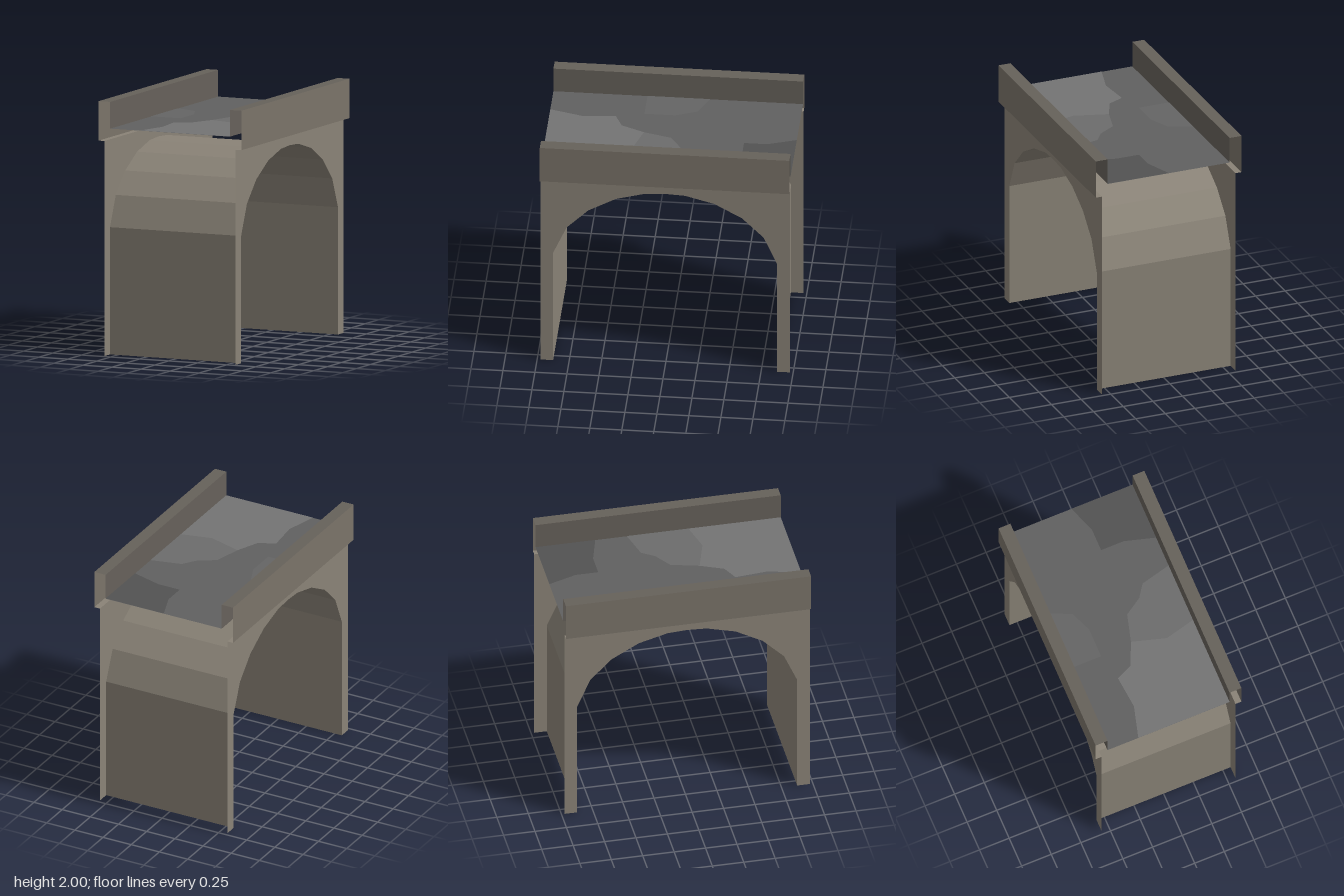
import * as THREE from 'three';

const WALL_X = 0.565, RAIL_OUT = 0.615, RAIL_IN = 0.515, HALF_Z = 0.975;
const LEDGE_Y = 1.69, DECK_Y = 1.79, TOP_Y = 2;

function material(color) {
  return new THREE.MeshStandardMaterial({ color, flatShading: true, side: THREE.DoubleSide });
}
const stone = material(0x8a8377);
const weathered = material(0x7a7369);
const capStone = material(0x66615a);

function addMesh(parent, name, geometry, mat) {
  const mesh = new THREE.Mesh(geometry, mat);
  mesh.name = name;
  parent.add(mesh);
  return mesh;
}

// Sweeps an open section straight along one axis; place(u, v, t) maps a section point to space
function ribbon(section, half, place) {
  const positions = [], index = [];
  section.forEach(([u, v], i) => {
    positions.push(...place(u, v, -half), ...place(u, v, half));
    if (i > 0) {
      const a = 2 * i - 2;
      index.push(a, a + 1, a + 3, a, a + 3, a + 2);
    }
  });
  const geometry = new THREE.BufferGeometry();
  geometry.setAttribute('position', new THREE.Float32BufferAttribute(positions, 3));
  geometry.setIndex(index);
  geometry.computeVertexNormals();
  return geometry;
}

// Flat shape lying on the deck, given as [x, z] corners
function paving(corners) {
  const shape = new THREE.Shape(corners.map(([x, z]) => new THREE.Vector2(x, -z)));
  return new THREE.ShapeGeometry(shape).rotateX(-Math.PI / 2);
}

export function createModel() {
  const model = new THREE.Group();
  model.name = 'archBridge';

  // Arch outline as [z, y], one half mirrored to the other
  const halfArch = [[0.875, 0], [0.875, 1], [0.77, 1.24], [0.6, 1.41], [0.385, 1.53], [0.155, 1.592]];
  const arch = [...halfArch, [0, 1.6], ...halfArch.map(([z, y]) => [-z, y]).reverse()];

  // Open barrel vault between the two side walls
  addMesh(model, 'archVault', ribbon(arch, WALL_X, (z, y, x) => [x, y, z]), stone);

  // Thin side walls cut by the arch
  const outline = [[-HALF_Z, 0], [-HALF_Z, LEDGE_Y], [HALF_Z, LEDGE_Y], [HALF_Z, 0], ...arch];
  const wallShape = new THREE.Shape(outline.map(([z, y]) => new THREE.Vector2(z, y)));

  for (const [side, s] of [['left', 1], ['right', -1]]) {
    const wall = addMesh(model, side + 'Wall', new THREE.ShapeGeometry(wallShape), stone);
    wall.rotation.y = s * Math.PI / 2;
    wall.position.x = s * WALL_X;

    // Hollow parapet, open at both ends
    const parapet = new THREE.Group();
    parapet.name = side + 'Parapet';
    model.add(parapet);
    const strip = (name, section, mat) =>
      addMesh(parapet, name, ribbon(section, HALF_Z, (x, y, z) => [s * x, y, s * z]), mat);
    strip('ledge', [[WALL_X, LEDGE_Y], [RAIL_OUT, LEDGE_Y]], stone);
    strip('outerFace', [[RAIL_OUT, LEDGE_Y], [RAIL_OUT, TOP_Y]], weathered);
    strip('capAndInnerFace', [[RAIL_OUT, TOP_Y], [RAIL_IN, TOP_Y], [RAIL_IN, DECK_Y]], capStone);
  }

  // Road deck
  const deck = new THREE.Group();
  deck.name = 'deck';
  deck.position.y = DECK_Y;
  model.add(deck);
  const e = RAIL_IN, h = HALF_Z;
  addMesh(deck, 'roadSurface', paving([[-e, -h], [e, -h], [e, h], [-e, h]]), material(0x606060));

  // Irregular worn patches, laid just above the road
  const patches = [
    ['darkPatch', 0x525252, [[0, -h], [e, -h], [e, -0.5], [0.27, -0.57], [0.08, -0.57], [0.08, -0.75]]],
    ['sidePatch', 0x656565, [[-e, -0.25], [-0.33, -0.17], [-0.26, 0], [-0.26, 0.24], [-e, 0.24]]],
    ['palePatch', 0x6c6c6c, [[e, -0.25], [0.27, -0.19], [0.2, -0.09], [0.06, 0], [0, 0.22],
      [0.27, 0.3], [e, 0.24]]],
    ['lightPatch', 0x747474, [[0, 0.22], [-0.08, 0.4], [-0.21, 0.46], [-0.185, 0.72], [-0.255, h],
      [e, h], [e, 0.24], [0.27, 0.3]]],
  ];
  for (const [name, color, corners] of patches) {
    const patch = addMesh(deck, name, paving(corners), new THREE.MeshStandardMaterial({ color }));
    patch.position.y = 0.002;
  }

  return model;
}
